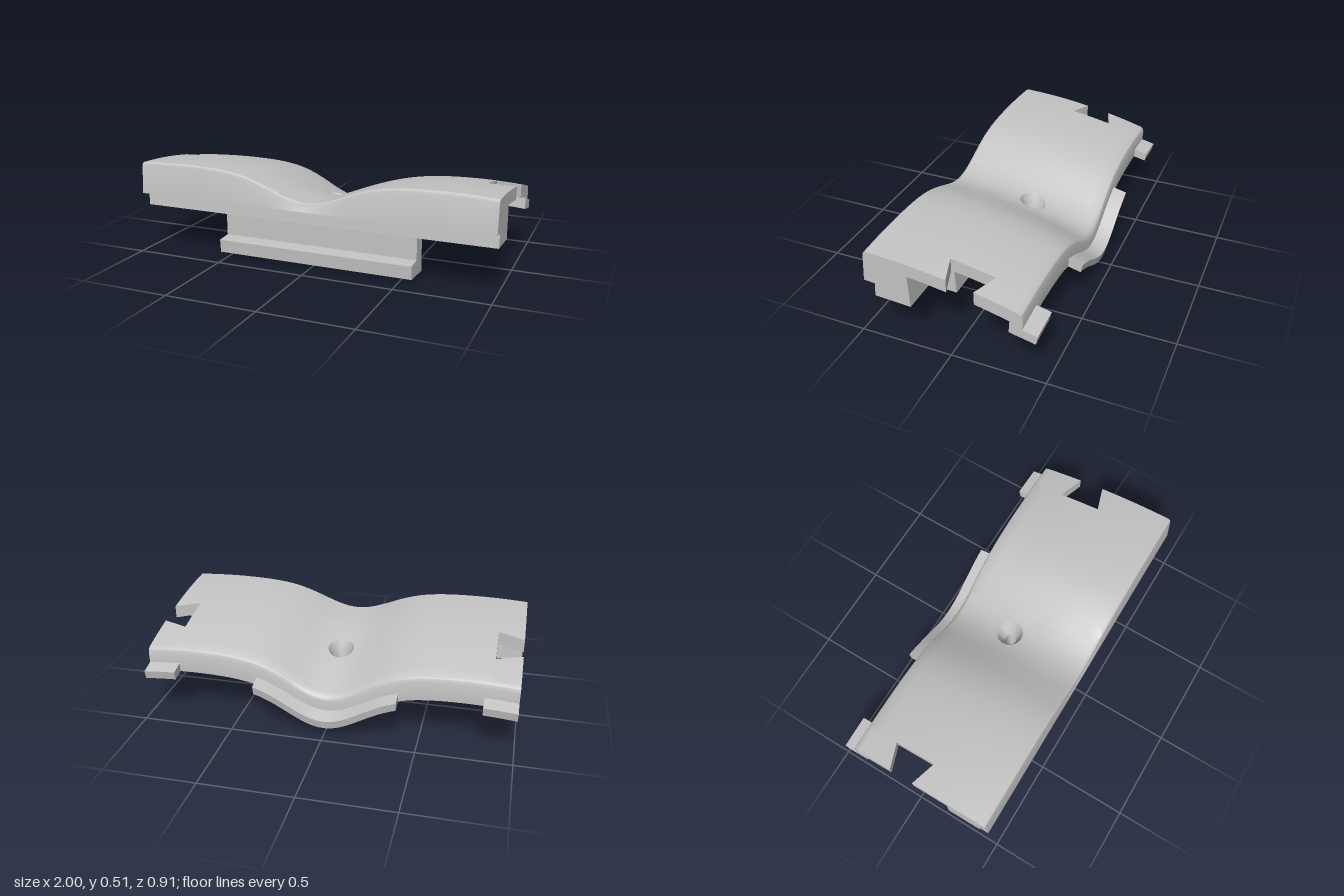
import * as THREE from 'three';
import { mergeGeometries, toCreasedNormals } from 'three/addons/utils/BufferGeometryUtils.js';

// Valley across the width (1 in the middle, 0 at the ends), deeper towards the back
const valley = x => Math.exp(-((x / 0.28) ** 2)) - 0.08 * Math.sin(Math.PI * x * x);
const drop = (x, z) => valley(x) * (z > 0.2 ? 0.13 : 0.13 + (0.2 - z) * 0.08);
const topY = (x, z) => 0.46 + 0.17 * z - 0.16 * z * z - drop(x, z);
const THICK = 0.07;

const range = (a, b, n) => Array.from({ length: n + 1 }, (_, i) => a + (b - a) * i / n);

function makeGeometry(pos) {
  const g = new THREE.BufferGeometry();
  g.setAttribute('position', new THREE.Float32BufferAttribute(pos, 3));
  return g;
}

// Solid through [z, y] sections placed along x, with closed ends
function loft(xs, section) {
  const loops = xs.map(section);
  const n = loops[0].length;
  const pos = [];
  const put = (i, j) => pos.push(xs[i], loops[i][j % n][1], loops[i][j % n][0]);
  for (let i = 0; i < xs.length - 1; i++) {
    for (let j = 0; j < n; j++) {
      put(i, j); put(i + 1, j + 1); put(i, j + 1);
      put(i, j); put(i + 1, j); put(i + 1, j + 1);
    }
  }
  for (const i of [0, xs.length - 1]) {
    const pts = loops[i].map(p => new THREE.Vector2(p[0], p[1]));
    for (const [a, b, c] of THREE.ShapeUtils.triangulateShape(pts, [])) {
      const facesLeft = THREE.ShapeUtils.area([pts[a], pts[b], pts[c]]) < 0;
      const order = facesLeft === (i > 0) ? [a, b, c] : [a, c, b];
      order.forEach(j => put(i, j));
    }
  }
  return makeGeometry(pos);
}

// Panel section; front = null includes the front wall, back = null the rear wall
function panelSection(x, front, back) {
  const d = z => drop(x, z);
  const pts = [];
  if (front === null) {
    pts.push([0.455, 0.33], [0.443, topY(x, 0.44) - 0.02], [0.439, topY(x, 0.439) - 0.007]);
  }
  for (const z of range(front ?? 0.428, back ?? -0.36, 14)) pts.push([z, topY(x, z)]);
  if (back === null) {
    pts.push([-0.374, topY(x, -0.374) - 0.007], [-0.381, topY(x, -0.38) - 0.025],
      [-0.375, 0.24 - d(-0.375)], [-0.31, 0.255 - d(-0.31)]);
  }
  for (const z of range(back ?? -0.315, front ?? 0.21, 10)) pts.push([z, topY(x, z) - THICK]);
  if (front === null) pts.push([0.205, 0.238], [0.4, 0.25], [0.395, 0.325]);
  return pts;
}

// Boss with a countersunk bore, a closed ring of loops
function bossGeometry() {
  const n = 32;
  const square = (a, hx, z0, z1) => {
    const c = Math.cos(a), s = Math.sin(a), m = Math.max(Math.abs(c), Math.abs(s));
    return [hx * c / m, (z0 + z1) / 2 + (z1 - z0) / 2 * s / m];
  };
  const circle = (a, r, z) => [r * Math.cos(a), z + r * Math.sin(a)];
  const loops = [];
  const add = f => loops.push(range(0, 2 * Math.PI, n).map(f));
  for (const t of range(0, 1, 5)) {
    add(a => {
      const p = square(a, 0.13, -0.163, 0.124), q = circle(a, 0.072, -0.02);
      const x = p[0] + (q[0] - p[0]) * t, z = p[1] + (q[1] - p[1]) * t;
      return [x, topY(x, z), z];
    });
  }
  const ring = (r, y, z) => add(a => { const p = circle(a, r, z); return [p[0], y, p[1]]; });
  ring(0.03, 0.23, -0.013);
  ring(0.03, 0.075, -0.004);
  add(a => {
    const p = square(a, 0.13, -0.148, 0.14);
    return [p[0], 0.075 + (p[1] + 0.004) * 0.07, p[1]];
  });
  const pos = [];
  loops.forEach((loop, k) => {
    const next = loops[(k + 1) % loops.length];
    for (let j = 0; j < n; j++) {
      pos.push(...loop[j], ...next[j], ...next[j + 1], ...loop[j], ...next[j + 1], ...loop[j + 1]);
    }
  });
  return makeGeometry(pos);
}

export function createModel() {
  const model = new THREE.Group();
  const grey = new THREE.MeshStandardMaterial({ color: 0xc4c4c4 });
  grey.name = 'light grey';
  const addPart = (name, geometry) => {
    const mesh = new THREE.Mesh(toCreasedNormals(geometry, 0.55), grey);
    mesh.name = name;
    model.add(mesh);
  };

  // Curved panel, open around the boss and notched at both ends
  const pieces = [
    loft(range(-0.13, 0.13, 8), x => panelSection(x, null, 0.124)),
    loft(range(-0.13, 0.13, 8), x => panelSection(x, -0.163, null)),
  ];
  for (const s of [-1, 1]) {
    const span = (a, b, n) => s > 0 ? range(a, b, n) : range(-b, -a, n);
    const inset = x => (1 - Math.abs(x)) / 0.14;
    pieces.push(
      loft(span(0.13, 0.86, 24), x => panelSection(x, null, null)),
      loft(span(0.86, 1, 4), x => panelSection(x, null, 0.003 + 0.045 * inset(x))),
      loft(span(0.86, 1, 4), x => panelSection(x, -0.138 - 0.05 * inset(x), null)),
    );
  }
  addPart('curvedPanel', mergeGeometries(pieces));
  addPart('screwBoss', bossGeometry());

  // Hooked rail below the front wall
  addPart('hookRail', loft([-0.56, 0.56], () => [
    [0.29, 0.26], [0.206, 0.25], [0.195, 0], [0.37, 0.012], [0.375, 0.085], [0.29, 0.092],
  ]));

  // Locating tabs along the rear edge
  const tabSection = x => [[-0.37, 0.292], [-0.455, 0.272], [-0.445, 0.225], [-0.37, 0.242]]
    .map(([z, y]) => [z, y - drop(x, z)]);
  addPart('middleRearTab', loft(range(-0.385, 0.385, 24), tabSection));
  addPart('leftRearTab', loft(range(0.825, 1, 4), tabSection));
  addPart('rightRearTab', loft(range(-1, -0.825, 4), tabSection));

  return model;
}
